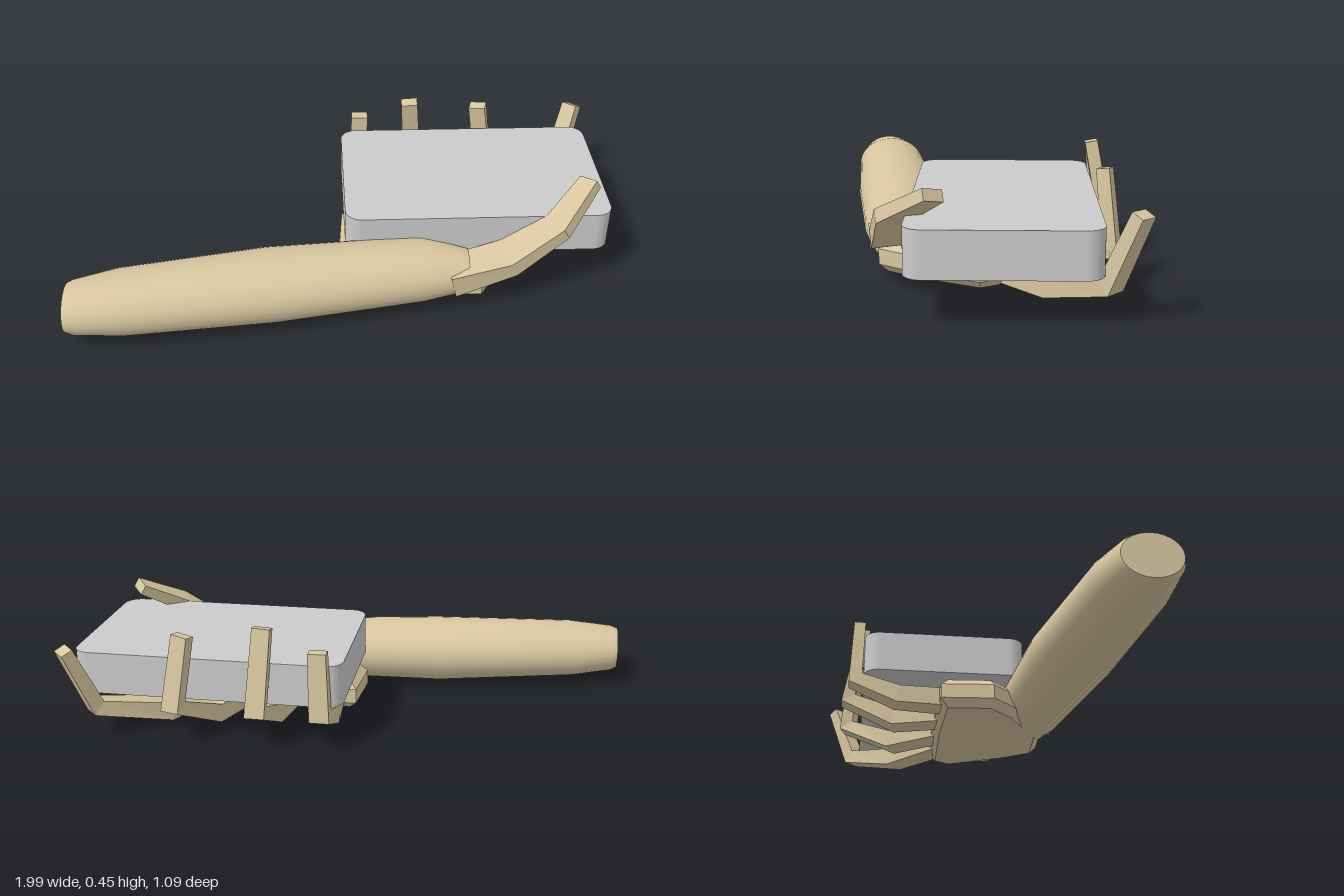
import * as THREE from 'three';

const skin = new THREE.MeshStandardMaterial({ color: 0xd8c6a0 });
const skinFlat = new THREE.MeshStandardMaterial({ color: 0xd8c6a0, flatShading: true });
const grey = new THREE.MeshStandardMaterial({ color: 0xcccccc });

// Capped loft: sections are [x, y, z, half size along side, half size across it]
function loft(name, sections, side, sides, material) {
  const centres = sections.map(s => new THREE.Vector3(s[0], s[1], s[2]));
  const pos = [], idx = [], square = sides === 4, last = sections.length - 1;
  const rings = sections.map((s, i) => {
    const d = new THREE.Vector3();
    if (i > 0) d.add(centres[i].clone().sub(centres[i - 1]).normalize());
    if (i < last) d.add(centres[i + 1].clone().sub(centres[i]).normalize());
    d.normalize();
    const u = new THREE.Vector3(...side).projectOnPlane(d).normalize();
    const v = d.clone().cross(u);
    const k = square ? Math.SQRT2 : 1;
    return Array.from({ length: sides }, (_, j) => {
      const a = (j + (square ? 0.5 : 0)) / sides * Math.PI * 2;
      return centres[i].clone().addScaledVector(u, Math.cos(a) * s[3] * k)
        .addScaledVector(v, Math.sin(a) * s[4] * k);
    });
  });
  const push = p => pos.push(p.x, p.y, p.z) / 3 - 1;
  rings.forEach(r => r.forEach(push));
  for (let i = 0; i < last; i++) for (let j = 0; j < sides; j++) {
    const k = (j + 1) % sides, a = i * sides, b = a + sides;
    idx.push(a + j, a + k, b + k, a + j, b + k, b + j);
  }
  // End caps use their own vertices so the rim stays sharp
  for (const end of [0, last]) {
    const c = push(centres[end]);
    rings[end].forEach(push);
    for (let j = 0; j < sides; j++) {
      const p = c + 1 + j, q = c + 1 + (j + 1) % sides;
      idx.push(c, end ? p : q, end ? q : p);
    }
  }
  const g = new THREE.BufferGeometry();
  g.setAttribute('position', new THREE.Float32BufferAttribute(pos, 3));
  g.setIndex(idx);
  g.computeVertexNormals();
  const mesh = new THREE.Mesh(g, material);
  mesh.name = name;
  return mesh;
}

// Flat outline in x and z, extruded upwards from y0 to y1
function plate(name, shape, y0, y1, bevel, material) {
  const g = new THREE.ExtrudeGeometry(shape, {
    depth: y1 - y0 - 2 * bevel, bevelEnabled: bevel > 0, bevelSize: bevel,
    bevelThickness: bevel, bevelOffset: -bevel, bevelSegments: 1, curveSegments: 6,
  });
  g.rotateX(-Math.PI / 2).translate(0, y0 + bevel, 0);
  const mesh = new THREE.Mesh(g, material);
  mesh.name = name;
  return mesh;
}

// Rounded rectangle; shape y is -z
function roundedRect(x0, y0, x1, y1, r) {
  const s = new THREE.Shape();
  s.absarc(x1 - r, y1 - r, r, 0, Math.PI / 2);
  s.absarc(x0 + r, y1 - r, r, Math.PI / 2, Math.PI);
  s.absarc(x0 + r, y0 + r, r, Math.PI, Math.PI * 1.5);
  s.absarc(x1 - r, y0 + r, r, Math.PI * 1.5, Math.PI * 2);
  s.closePath();
  return s;
}

export function createModel() {
  const model = new THREE.Group();

  // Held slab
  model.add(plate('heldSlab', roundedRect(0.005, -0.2, 0.985, 0.41, 0.06), 0.16, 0.315, 0, grey));

  // Forearm, tapered at elbow and wrist
  model.add(loft('forearm', [
    [-0.985, 0.13, 0.43, 0.078, 0.1],
    [-0.96, 0.13, 0.43, 0.088, 0.112],
    [-0.8, 0.13, 0.406, 0.108, 0.139],
    [-0.27, 0.127, 0.325, 0.124, 0.157],
    [0.28, 0.13, 0.258, 0.11, 0.135],
    [0.45, 0.125, 0.262, 0.075, 0.085],
  ], [0, 1, 0], 32, skin));

  // Palm under the slab, widening from the wrist to the knuckles
  const palm = new THREE.Shape([[0.3, 0.31], [0.5, 0.32], [0.58, 0.2], [0.69, -0.03],
    [0.64, -0.12], [0.3, -0.13], [0, -0.12], [-0.015, 0.08], [0.08, 0.18]]
    .map(([x, z]) => new THREE.Vector2(x, -z)));
  model.add(plate('palm', palm, 0.025, 0.14, 0.03, skinFlat));

  // Thumb wrapping over the front edge
  model.add(loft('thumb', [
    [0.38, 0.125, 0.3, 0.065, 0.045],
    [0.6, 0.18, 0.265, 0.07, 0.03],
    [0.77, 0.3, 0.245, 0.055, 0.024],
    [0.905, 0.4, 0.107, 0.038, 0.02],
  ], [0.35, 0, 1], 4, skinFlat));

  // Fingers fanning out below the slab and curling up behind it
  const halfSizes = [[0.05, 0.035], [0.045, 0.034], [0.036, 0.03], [0.032, 0.022]];
  const fingers = {
    indexFinger: [[0.7, 0, 0.7],
      [[0.55, 0.08, -0.06], [0.69, 0.05, -0.26], [0.9, 0.12, -0.43], [0.965, 0.36, -0.515]]],
    middleFinger: [[1, 0, 0.3],
      [[0.41, 0.08, -0.08], [0.51, 0.06, -0.28], [0.6, 0.15, -0.46], [0.56, 0.41, -0.435]]],
    ringFinger: [[1, 0, 0],
      [[0.25, 0.08, -0.08], [0.29, 0.07, -0.28], [0.3, 0.15, -0.465], [0.28, 0.445, -0.41]]],
    littleFinger: [[1, 0, 0],
      [[0.1, 0.08, -0.08], [0.08, 0.08, -0.28], [0.075, 0.14, -0.44], [0.082, 0.375, -0.432]]],
  };
  for (const [name, [side, path]] of Object.entries(fingers)) {
    model.add(loft(name, path.map((p, i) => [...p, ...halfSizes[i]]), side, 4, skinFlat));
  }
  return model;
}
